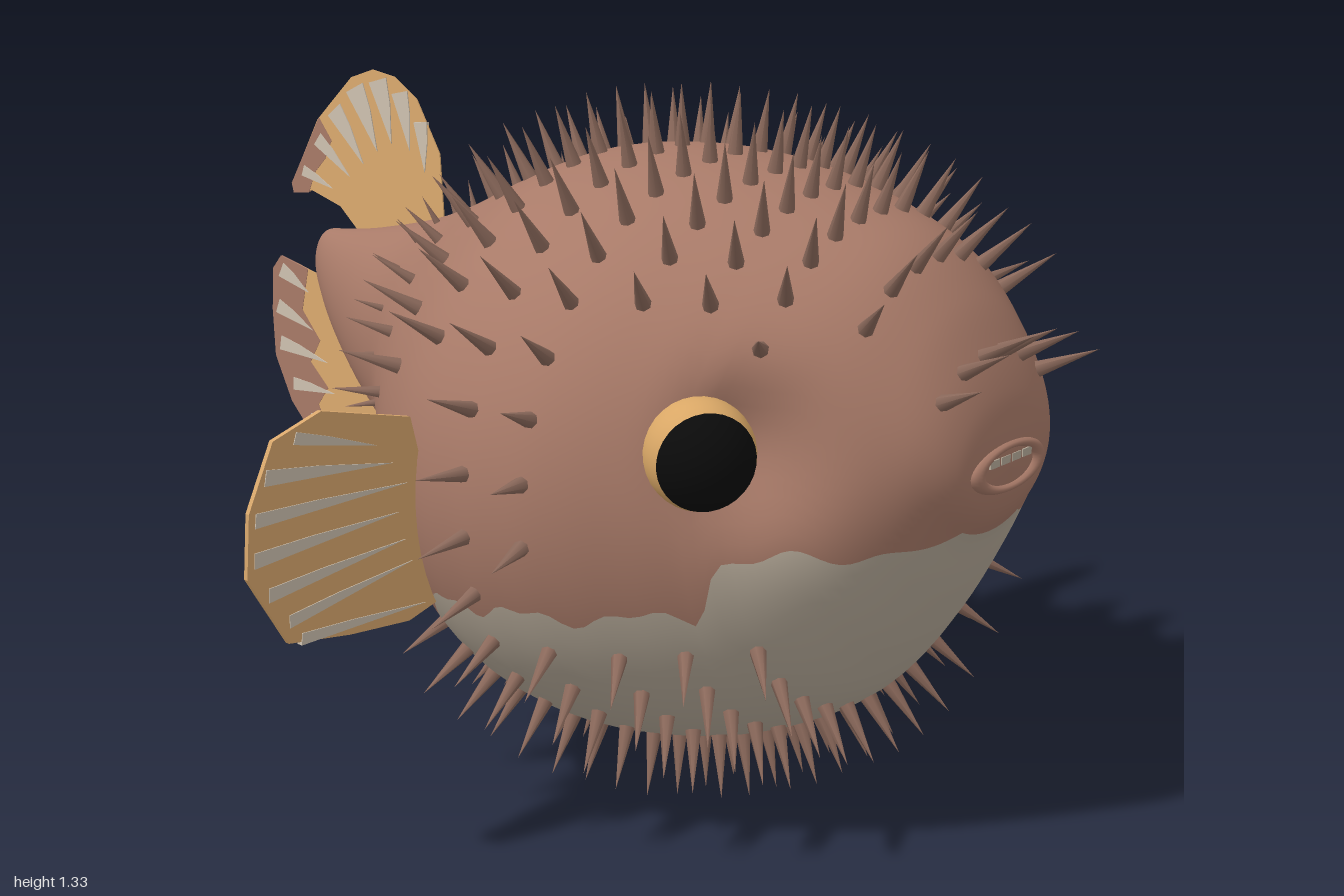
import * as THREE from 'three';
import { mergeGeometries } from 'three/addons/utils/BufferGeometryUtils.js';

const material = (name, color) => {
  const m = new THREE.MeshStandardMaterial({ color });
  m.name = name;
  return m;
};

// Body stations from snout to tail: z, half width, top y, bottom y
const STATIONS = [
  [0.88, 0, 0.72, 0.715], [0.873, 0.11, 0.79, 0.66], [0.86, 0.165, 0.85, 0.62],
  [0.83, 0.215, 0.92, 0.57], [0.78, 0.27, 1.0, 0.47], [0.7, 0.35, 1.08, 0.34],
  [0.6, 0.435, 1.13, 0.225], [0.45, 0.53, 1.175, 0.145], [0.3, 0.605, 1.2, 0.11],
  [0.15, 0.62, 1.205, 0.105], [0, 0.585, 1.185, 0.14], [-0.15, 0.485, 1.125, 0.225],
  [-0.3, 0.345, 1.055, 0.37], [-0.45, 0.21, 1.0, 0.5], [-0.6, 0.125, 0.965, 0.61],
  [-0.7, 0.072, 0.95, 0.71], [-0.755, 0.04, 0.943, 0.79], [-0.778, 0.02, 0.915, 0.835],
  [-0.786, 0, 0.875, 0.87],
];
const spline = (pts) => new THREE.CatmullRomCurve3(pts, false, 'catmullrom', 0.5);
const upper = spline(STATIONS.map(([z, w, top]) => new THREE.Vector3(w, top, z)));
const lower = spline(STATIONS.map(([z, , , bot]) => new THREE.Vector3(0, bot, z)));

function section(t) {
  const u = upper.getPoint(t), l = lower.getPoint(t);
  return { z: u.z, w: Math.max(u.x, 0), cy: (u.y + l.y) / 2, h: (u.y - l.y) / 2 };
}
// Point on the skin, hollowed in front of each eye
function surface(t, a) {
  const s = section(t);
  const p = new THREE.Vector3(s.w * Math.cos(a), s.cy + s.h * Math.sin(a), s.z);
  const side = Math.sign(p.x);
  const d2 = (p.x - side * 0.385) ** 2 + (p.y - 0.77) ** 2 + (p.z - 0.61) ** 2;
  const dent = 0.085 * Math.exp(-d2 / 0.0135);
  p.x -= side * dent * 0.55;
  p.z -= dent * 0.83;
  return p;
}
function paramAt(z) {
  let lo = 0, hi = 1;
  for (let i = 0; i < 30; i++) {
    const mid = (lo + hi) / 2;
    if (section(mid).z > z) lo = mid; else hi = mid;
  }
  return lo;
}
// Height of the wavy edge of the pale belly
function bellyEdge(z) {
  const cheek = THREE.MathUtils.smoothstep(z, 0.53, 0.58);
  const notch = 0.06 * Math.exp(-(((z + 0.05) / 0.07) ** 2));
  return 0.45 + 0.06 * Math.max(z, 0) + 0.1 * cheek - notch + 0.012 * Math.sin(z * 31) + 0.008 * Math.sin(z * 67);
}

// Rings whose first columns form the belly and the rest the back
function bodyGeometry() {
  const rings = 150, nBelly = 28, nBack = 48, n = nBelly + nBack;
  const pos = [], belly = [], back = [];
  for (let i = 0; i <= rings; i++) {
    const t = i / rings, s = section(t);
    const k = (bellyEdge(s.z) - s.cy) / Math.max(s.h, 0.001);
    const edge = Math.asin(THREE.MathUtils.clamp(k, -0.96, 0.3));
    for (let j = 0; j < n; j++) {
      const a = j < nBelly
        ? THREE.MathUtils.lerp(-Math.PI - edge, edge, j / nBelly)
        : THREE.MathUtils.lerp(edge, Math.PI - edge, (j - nBelly) / nBack);
      pos.push(...surface(t, a).toArray());
      if (i === rings) continue;
      const p = i * n + j, q = i * n + (j + 1) % n;
      const pale = j < nBelly && s.z < 0.845 && s.z > -0.35;
      (pale ? belly : back).push(p, p + n, q, q, p + n, q + n);
    }
  }
  const g = new THREE.BufferGeometry();
  g.setAttribute('position', new THREE.Float32BufferAttribute(pos, 3));
  g.setIndex([...back, ...belly]);
  g.addGroup(0, back.length, 0);
  g.addGroup(back.length, belly.length, 1);
  g.computeVertexNormals();
  return g;
}

// Whether the skin carries a spine here (bare face, cheeks and fin roots)
function hasSpine(z, y) {
  if (z > 0.8) return y > 0.85;
  if (z > 0.65) return y > 0.95;
  if (z > 0.35) return y > 0.94 || y < 0.48;
  if (z > -0.02 && z < 0.1) return y > 0.85 || y < 0.4;
  return y < 0.49 || y > 0.58;
}
function spineGeometry() {
  const cones = [], up = new THREE.Vector3(0, 1, 0);
  const rows = [0.835, 0.72, 0.6, 0.5, 0.4, 0.285, 0.165, 0.03, -0.105, -0.235, -0.375];
  for (const z of rows) {
    const t = paramAt(z), s = section(t);
    const spacing = z > 0.8 || z < -0.3 ? 0.072 : 0.095;
    const count = 2 * Math.round(Math.PI * (s.w + s.h) / 2 / spacing);
    const len = z < -0.3 ? 0.06 : z < -0.2 ? 0.09 : 0.115;
    for (let k = 0; k < count; k++) {
      // Denser along the back and the belly than on the flanks
      const even = (k + 0.5) / count * Math.PI * 2;
      const a = even + 0.12 * Math.sin(2 * even), p = surface(t, a);
      if (!hasSpine(z, p.y)) continue;
      const along = surface(t + 0.004, a).sub(surface(t - 0.004, a));
      const around = surface(t, a + 0.01).sub(surface(t, a - 0.01));
      const normal = along.cross(around).normalize();
      const cone = new THREE.ConeGeometry(len * 0.145, len + 0.015, 7, 1, true);
      cone.translate(0, len / 2 - 0.0075, 0);
      cone.applyQuaternion(new THREE.Quaternion().setFromUnitVectors(up, normal));
      cone.translate(p.x, p.y, p.z);
      cones.push(cone);
    }
  }
  return mergeGeometries(cones);
}

// Flat plate centred on its own plane
function plateGeometry(points, thickness) {
  const shape = new THREE.Shape(points.map(([x, y]) => new THREE.Vector2(x, y)));
  const g = new THREE.ExtrudeGeometry(shape, { depth: thickness, bevelEnabled: false });
  return g.translate(0, 0, -thickness / 2);
}
// Tapering streak from the rim of a fin towards its root
function streakGeometry([x1, y1, x2, y2, w], thickness) {
  const d = new THREE.Vector2(x2 - x1, y2 - y1).normalize().multiplyScalar(w);
  const mx = x1 * 0.6 + x2 * 0.4, my = y1 * 0.6 + y2 * 0.4;
  return plateGeometry([[x1 - d.y, y1 + d.x], [mx - d.y * 0.8, my + d.x * 0.8], [x2, y2],
    [mx + d.y * 0.6, my - d.x * 0.6], [x1 + d.y, y1 - d.x]], thickness);
}

export function createModel() {
  const model = new THREE.Group();
  model.name = 'pufferfish';
  const skin = material('brown skin', 0xa87a68);
  const pale = material('pale belly', 0xb6aa99);
  const spineMat = material('spine brown', 0x8c6a5c);
  const finMat = material('ochre fin', 0xdcaa6e);
  const streakMat = material('pale streak', 0xcfc2b1);
  const iris = material('amber iris', 0xd9a766);
  const black = material('black pupil', 0x0b0b0b);
  const add = (parent, name, geometry, mat) => {
    const mesh = new THREE.Mesh(geometry, mat);
    mesh.name = name;
    parent.add(mesh);
    return mesh;
  };
  add(model, 'body', bodyGeometry(), [skin, pale]);
  add(model, 'spines', spineGeometry(), spineMat);

  // Mouth
  const lips = add(model, 'lips', new THREE.TorusGeometry(0.1, 0.022, 12, 40), skin);
  lips.scale.set(1, 0.38, 0.8);
  lips.position.set(0, 0.715, 0.867);
  for (const x of [-0.054, -0.018, 0.018, 0.054]) {
    add(model, 'tooth', new THREE.BoxGeometry(0.03, 0.014, 0.008), pale).position.set(x, 0.73, 0.876);
  }

  // Eyes and pectoral fins on both sides
  const pectoral = [[0.46, -0.17], [0.56, 0], [0.62, 0.165], [0.72, 0.19], [0.84, 0.22], [0.95, 0.19],
    [1, 0.075], [1, -0.04], [0.9, -0.18], [0.75, -0.205], [0.6, -0.22], [0.52, -0.2]];
  const pectoralStreaks = [[0.9, 0.185, 0.7, 0.13, 0.011], [0.965, 0.13, 0.66, 0.09, 0.014],
    [0.985, 0.06, 0.62, 0.045, 0.013], [0.985, -0.01, 0.64, -0.005, 0.014],
    [0.95, -0.08, 0.62, -0.06, 0.013], [0.9, -0.14, 0.6, -0.105, 0.012], [0.87, -0.18, 0.56, -0.195, 0.011]];
  for (const side of [1, -1]) {
    const eye = new THREE.Group();
    eye.name = side > 0 ? 'leftEye' : 'rightEye';
    eye.position.set(side * 0.425, 0.768, 0.525);
    const axis = new THREE.Vector3(side * 0.62, -0.06, 0.78).normalize();
    eye.quaternion.setFromUnitVectors(new THREE.Vector3(0, 1, 0), axis);
    add(eye, 'eyeball', new THREE.SphereGeometry(0.098, 32, 20), iris);
    add(eye, 'pupil', new THREE.SphereGeometry(0.1, 32, 10, 0, Math.PI * 2, 0, 1.05), black);
    model.add(eye);

    const fin = new THREE.Group();
    fin.name = side > 0 ? 'leftPectoralFin' : 'rightPectoralFin';
    fin.position.set(0, 0.63, 0.03);
    fin.rotation.x = 0.08;
    add(fin, 'finBlade', plateGeometry(pectoral.map(([x, y]) => [side * x, y]), 0.008), finMat);
    const streaks = pectoralStreaks.map(([a, b, c, d, w]) => streakGeometry([side * a, b, side * c, d, w], 0.011));
    add(fin, 'finStreaks', mergeGeometries(streaks), streakMat);
    model.add(fin);
  }

  // Dorsal and tail fins in the middle plane, drawn as (z, y)
  const middleFin = (name, outline, patches, streaks) => {
    const fin = new THREE.Group();
    fin.name = name;
    fin.rotation.y = -Math.PI / 2;
    add(fin, 'finBlade', plateGeometry(outline, 0.003), finMat);
    add(fin, 'finPatches', mergeGeometries(patches.map((p) => plateGeometry(p, 0.005))), skin);
    add(fin, 'finStreaks', mergeGeometries(streaks.map((s) => streakGeometry(s, 0.007))), streakMat);
    model.add(fin);
  };
  middleFin('dorsalFin',
    [[-0.43, 0.98], [-0.44, 1.13], [-0.5, 1.235], [-0.56, 1.275], [-0.62, 1.285], [-0.68, 1.265],
      [-0.78, 1.17], [-0.86, 1.03], [-0.855, 1.01], [-0.8, 1.02], [-0.72, 0.995], [-0.66, 0.94]],
    [[[-0.775, 1.175], [-0.86, 1.03], [-0.855, 1.01], [-0.81, 1.015], [-0.79, 1.06], [-0.76, 1.09], [-0.74, 1.13]]],
    [[-0.49, 1.19, -0.48, 1.09, 0.018], [-0.545, 1.245, -0.52, 1.13, 0.022], [-0.605, 1.265, -0.57, 1.14, 0.025],
      [-0.67, 1.245, -0.61, 1.12, 0.026], [-0.73, 1.195, -0.65, 1.09, 0.022], [-0.78, 1.13, -0.69, 1.06, 0.016],
      [-0.825, 1.06, -0.74, 1.03, 0.012]]);
  middleFin('tailFin',
    [[-0.75, 0.84], [-0.8, 0.845], [-0.9, 0.87], [-0.925, 0.84], [-0.93, 0.75], [-0.925, 0.65], [-0.88, 0.555],
      [-0.83, 0.5], [-0.76, 0.5], [-0.65, 0.555], [-0.56, 0.59], [-0.65, 0.7]],
    [[[-0.82, 0.85], [-0.9, 0.87], [-0.925, 0.84], [-0.93, 0.75], [-0.925, 0.65], [-0.88, 0.555], [-0.83, 0.5],
      [-0.77, 0.5], [-0.8, 0.56], [-0.77, 0.6], [-0.82, 0.65], [-0.79, 0.7], [-0.84, 0.76]]],
    [[-0.9, 0.84, -0.82, 0.8, 0.017], [-0.913, 0.76, -0.81, 0.72, 0.016], [-0.908, 0.68, -0.77, 0.655, 0.016],
      [-0.873, 0.595, -0.75, 0.59, 0.014], [-0.82, 0.525, -0.73, 0.55, 0.012]]);
  return model;
}
